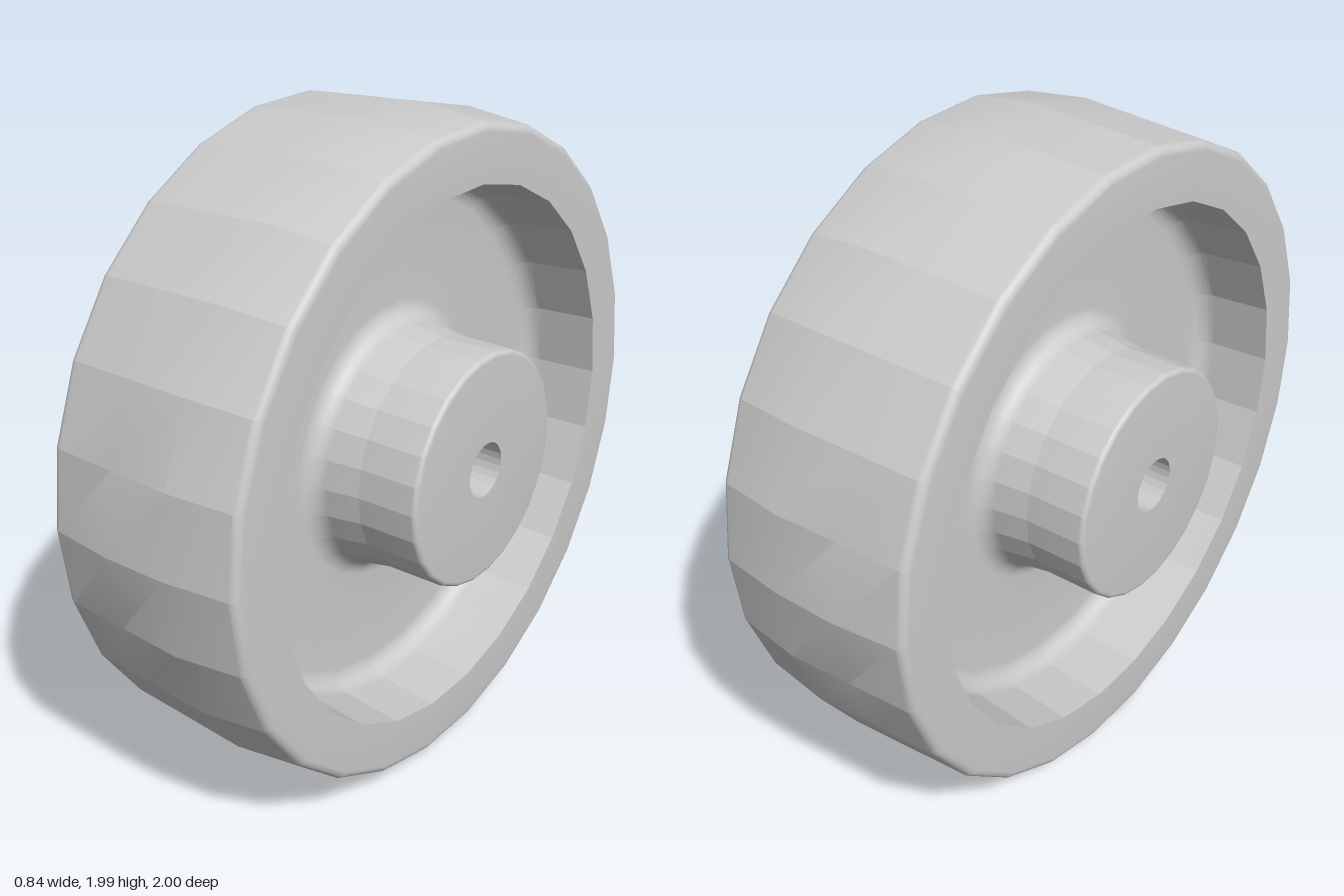
import * as THREE from 'three';
import { toCreasedNormals } from 'three/addons/utils/BufferGeometryUtils.js';

const SIDES = 26;
const CREASE = THREE.MathUtils.degToRad(13.3); // facets stay flat, fillets stay smooth
const WIDTH = 0.32, TREAD_R = 0.977, RECESS_R = 0.808;
const HUB_R = 0.355, HUB_END = 0.42, HUB_STEP = 0.23, BORE_R = 0.083;
const FLOOR = 0.075, FILLET = 0.06, DRAFT = 0.015;

// Arc in (radius, axial) coordinates, angles in degrees
function arc(r, x, size, from, to, steps = 8) {
  return Array.from({ length: steps + 1 }, (_, i) => {
    const a = THREE.MathUtils.degToRad(from + (to - from) * i / steps);
    return [r + size * Math.cos(a), x + size * Math.sin(a)];
  });
}

// Spin a profile of [radius, axial] points around the x axis
function spin(profile) {
  const points = profile.map(([r, x]) => new THREE.Vector2(r, x));
  return new THREE.LatheGeometry(points, SIDES).rotateZ(-Math.PI / 2);
}

export function createModel() {
  const wheel = new THREE.Group();
  wheel.name = 'wheel';
  const material = new THREE.MeshStandardMaterial({ color: 0xcccccc });
  const add = (name, geometry) => {
    const mesh = new THREE.Mesh(toCreasedNormals(geometry, CREASE), material);
    mesh.name = name;
    wheel.add(mesh);
    return mesh;
  };

  // Crowned tread with rounded shoulders and flat side faces
  const edge = 0.027;
  const tread = spin([
    [RECESS_R, -WIDTH],
    ...arc(TREAD_R - edge, -WIDTH + edge, edge, -90, 0),
    [0.988, -0.1], [1, 0.1],
    ...arc(TREAD_R - edge, WIDTH - edge, edge, 0, 90),
    [RECESS_R, WIDTH],
  ]);
  // Raise the crown at the two seam points
  const p = tread.attributes.position;
  for (let i = 0; i < p.count; i++) {
    if (Math.abs(p.getX(i) + 0.1) < 1e-4 && Math.abs(p.getY(i)) < 1e-4) p.setZ(i, Math.sign(p.getZ(i)));
  }
  add('tread', tread);

  // Deep recessed web on each side, with drafted walls filleted into rim and hub
  const recess = [
    [RECESS_R, WIDTH],
    ...arc(RECESS_R - DRAFT - FILLET, FLOOR + FILLET, FILLET, 0, -90),
    ...arc(HUB_R + DRAFT + FILLET, FLOOR + FILLET, FILLET, 270, 180),
    [HUB_R, HUB_STEP],
  ];
  for (const side of [1, -1]) {
    const web = add(side > 0 ? 'leftWeb' : 'rightWeb', spin(recess));
    if (side < 0) web.rotation.y = Math.PI;
  }

  // Hub ends joined by the axle bore
  const round = 0.015;
  add('hub', spin([
    [HUB_R, HUB_STEP],
    ...arc(HUB_R - round, HUB_END - round, round, 0, 90),
    [BORE_R, HUB_END], [BORE_R, -HUB_END],
    ...arc(HUB_R - round, -HUB_END + round, round, -90, 0),
    [HUB_R, -HUB_STEP],
  ]));

  // Rest on a flat facet
  wheel.position.y = Math.cos(Math.PI / SIDES);
  const model = new THREE.Group();
  model.add(wheel);
  return model;
}
